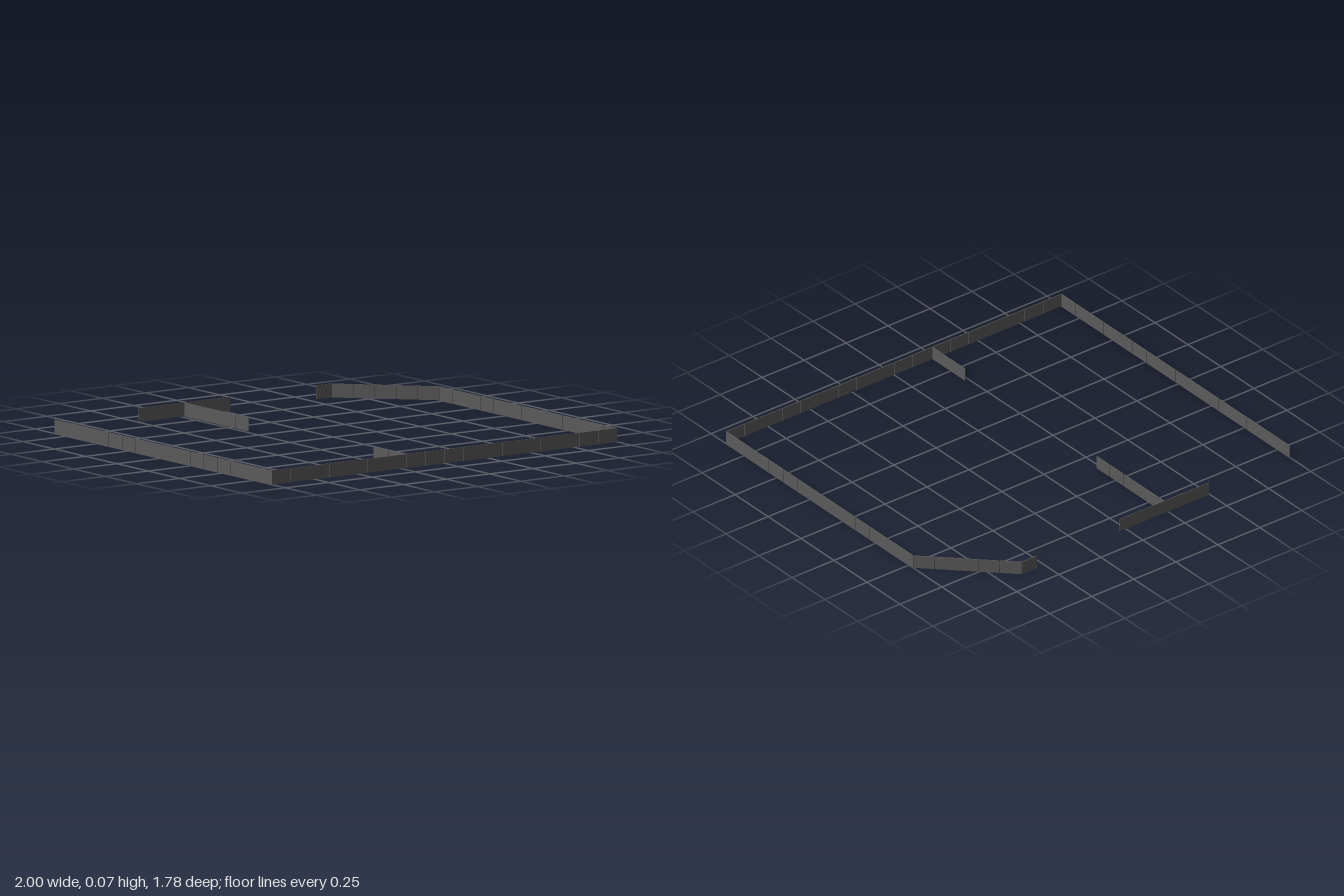
import * as THREE from 'three';

const HEIGHT = 0.066;
const GAP = 0.002;

export function createModel() {
  const model = new THREE.Group();
  const wallGrey = new THREE.MeshStandardMaterial({ color: 0x5a5a5a });
  wallGrey.name = 'wallGrey';

  // A straight run of thin upright panels between two floor points [x, z]
  function addWall(name, [x0, z0], [x1, z1], count, thickness) {
    const wall = new THREE.Group();
    wall.name = name;
    const length = Math.hypot(x1 - x0, z1 - z0);
    const pitch = length / count;
    const width = count > 1 ? pitch - GAP : length;
    const geometry = new THREE.BoxGeometry(width, HEIGHT, thickness);
    for (let i = 0; i < count; i++) {
      const panel = new THREE.Mesh(geometry, wallGrey);
      panel.name = 'wallPanel';
      panel.position.set((i + 0.5) * pitch, HEIGHT / 2, 0);
      wall.add(panel);
    }
    wall.position.set(x0, 0, z0);
    wall.rotation.y = -Math.atan2(z1 - z0, x1 - x0);
    model.add(wall);
  }

  // Outer walls, open at the back
  const X = 0.998, Z = 0.888;
  addWall('frontWall', [-1, Z], [1, Z], 18, 0.004);
  addWall('rightWall', [-X, 0.89], [-X, -0.845], 16, 0.004);
  addWall('leftWall', [X, 0.89], [X, -0.53], 13, 0.004);
  addWall('cornerWall', [X, -0.53], [0.635, -Z], 5, 0.004);
  addWall('backReturn', [0.635, -Z], [0.545, -Z], 1, 0.004);

  // Inner partitions
  addWall('backPartition', [-0.495, -0.87], [0.035, -0.87], 1, 0.003);
  addWall('partitionStem', [-0.23, -0.87], [-0.23, -0.355], 5, 0.003);
  addWall('frontStub', [-0.23, Z], [-0.23, 0.64], 2, 0.003);

  return model;
}
